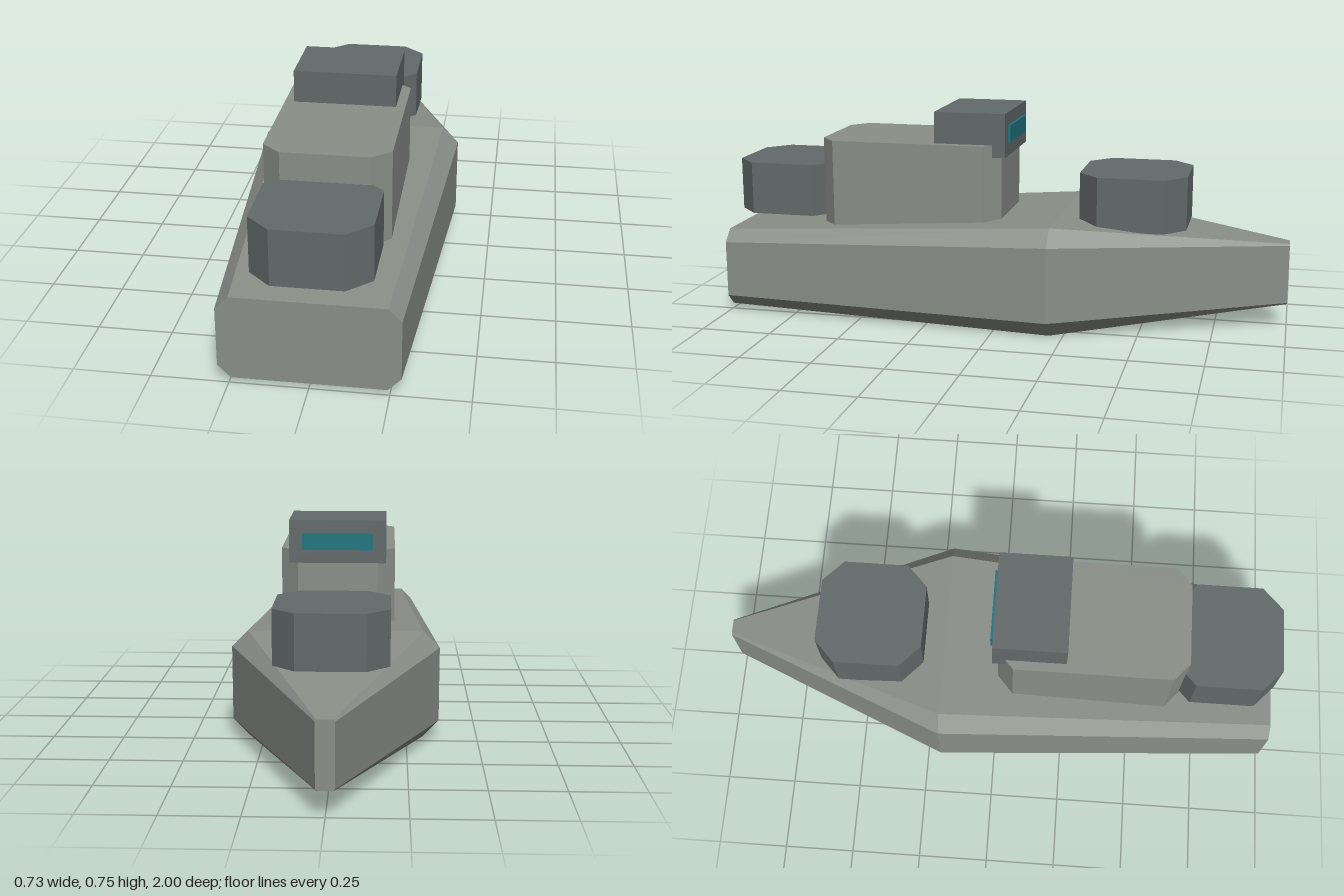
import * as THREE from 'three';

const paint = (color) => new THREE.MeshStandardMaterial({ color, flatShading: true, roughness: 0.8 });
const hullPaint = paint(0x8a8f88);
const steel = paint(0x636a6a);
const glass = paint(0x1f7480);

function add(group, name, geometry, material, x = 0, y = 0, z = 0) {
  const mesh = new THREE.Mesh(geometry, material);
  mesh.name = name;
  mesh.position.set(x, y, z);
  group.add(mesh);
}

// Eight-sided section, counter-clockwise seen from +z
function section({ z, w, inner, y0, y1, y2, y3 }) {
  return [[inner, y0], [w, y1], [w, y2], [inner, y3], [-inner, y3], [-w, y2], [-w, y1], [-inner, y0]]
    .map(([x, y]) => new THREE.Vector3(x, y, z));
}

// Skin between successive sections, closed at both ends
function loft(rings) {
  const points = [];
  const n = rings[0].length;
  for (let r = 0; r < rings.length - 1; r++) {
    const a = rings[r], b = rings[r + 1];
    for (let i = 0; i < n; i++) {
      const j = (i + 1) % n;
      points.push(a[i], b[i], b[j], a[i], b[j], a[j]);
    }
  }
  const first = rings[0], last = rings[rings.length - 1];
  for (let i = 1; i < n - 1; i++) {
    points.push(first[0], first[i], first[i + 1], last[0], last[i + 1], last[i]);
  }
  const geometry = new THREE.BufferGeometry().setFromPoints(points);
  geometry.computeVertexNormals();
  return geometry;
}

// Upright block with cut corners, standing on y = 0
function cutBlock(width, depth, height, cutX, cutZ) {
  const w = width / 2, d = depth / 2;
  const outline = [[w, d - cutZ], [w - cutX, d], [cutX - w, d], [-w, d - cutZ],
    [-w, cutZ - d], [cutX - w, -d], [w - cutX, -d], [w, cutZ - d]];
  const shape = new THREE.Shape(outline.map(([x, y]) => new THREE.Vector2(x, y)));
  return new THREE.ExtrudeGeometry(shape, { depth: height, bevelEnabled: false }).rotateX(-Math.PI / 2);
}

export function createModel() {
  const ship = new THREE.Group();
  ship.name = 'ship';

  // Hull: flat stern, widest amidships, narrow bow
  const rings = [
    { z: 1, w: 0.285, inner: 0.243, y0: 0.018, y1: 0.06, y2: 0.26, y3: 0.302 },
    { z: -0.2, w: 0.365, inner: 0.308, y0: 0, y1: 0.06, y2: 0.325, y3: 0.382 },
    { z: -1, w: 0.03, inner: 0.025, y0: 0.083, y1: 0.089, y2: 0.296, y3: 0.302 },
  ].map(section);
  add(ship, 'hull', loft(rings), hullPaint);

  // Deckhouse, bridge and window
  add(ship, 'deckhouse', cutBlock(0.414, 0.66, 0.335, 0.062, 0.055), hullPaint, 0, 0.3, 0.333);
  add(ship, 'bridge', new THREE.BoxGeometry(0.35, 0.155, 0.255), steel, 0, 0.669, 0.112);
  add(ship, 'bridgeWindow', new THREE.BoxGeometry(0.255, 0.06, 0.02), glass, 0, 0.67, -0.015);

  // Turrets fore and aft
  for (const [name, z] of [['foreTurret', -0.459], ['aftTurret', 0.812]]) {
    add(ship, name, cutBlock(0.382, 0.376, 0.188, 0.077, 0.073), steel, 0, 0.352, z);
  }
  return ship;
}
